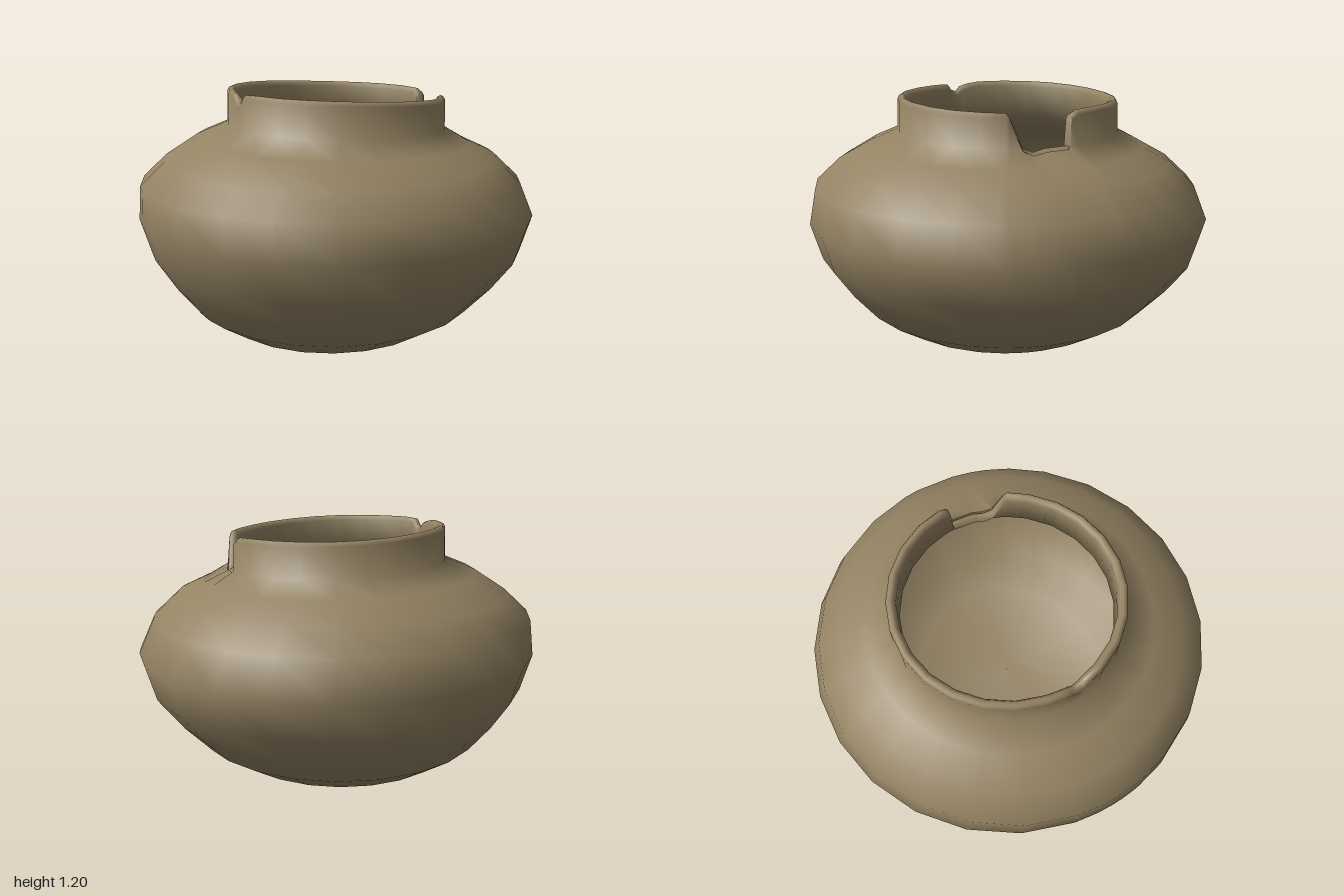
import * as THREE from 'three';
import { toCreasedNormals } from 'three/addons/utils/BufferGeometryUtils.js';

// Wall profile from under the base, up the outside, over the lip and down the inside:
// [radius, height, sideways drift]
const outer = [
  [0.001, 0, 0], [0.3, 0.008, 0], [0.575, 0.03, 1], [0.735, 0.135, 0.7], [0.855, 0.275, 0.3],
  [0.948, 0.41, 0], [1, 0.59, 0], [0.955, 0.755, 1], [0.835, 0.865, 1], [0.69, 0.945, 0.6],
  [0.552, 1.012, 0],
];
// Lip rows are [radius, drop below the rim]
const lip = [[0.548, 0.02], [0.538, 0.004], [0.525, 0], [0.512, 0.006], [0.502, 0.025]];
const inner = [
  [0.505, 0.99, 0], [0.66, 0.905, 0.6], [0.79, 0.825, 1], [0.9, 0.735, 1], [0.945, 0.59, 0],
  [0.895, 0.425, 0], [0.81, 0.305, 0.3], [0.7, 0.18, 0.7], [0.54, 0.08, 1], [0.001, 0.055, 0],
];

// Broken places on the rim: [angle in degrees, rim height]
const largeBreak = [[105, 1.155], [107, 1.13], [113, 1.0], [118, 0.98], [124, 0.995],
  [136, 1.0], [137, 1.14], [141, 1.158]];
const smallChip = [[311, 1.19], [316, 1.178], [319, 1.15], [323, 1.162], [325, 1.19]];

// Ring of columns: even spacing, with the break angles replacing nearby ones
function makeColumns() {
  const tilt = (deg) => {
    const a = THREE.MathUtils.degToRad(deg);
    return 1.178 - 0.018 * Math.sin(a) + 0.011 * Math.cos(a) + 0.003 * Math.sin(3 * a);
  };
  const columns = [...largeBreak, ...smallChip];
  for (let i = 0; i < 24; i++) {
    const deg = i * 15 + 4;
    const taken = [largeBreak, smallChip].some((b) => deg > b[0][0] - 3 && deg < b[b.length - 1][0] + 3);
    if (!taken) columns.push([deg, tilt(deg)]);
  }
  columns.sort((a, b) => a[0] - b[0]);
  columns.push([columns[0][0] + 360, columns[0][1]]);
  return columns;
}

// Lathe the wall, then lean it slightly and cut the rim down column by column
function makeWall() {
  const rows = [
    ...outer.map(([r, y, d]) => ({ r, y, d })),
    ...lip.map(([r, drop]) => ({ r, drop, d: 0 })),
    ...inner.map(([r, y, d]) => ({ r, y, d })),
  ];
  const columns = makeColumns();
  const profile = rows.map((row) => new THREE.Vector2(row.r, row.y ?? 1.18 - row.drop));
  const geometry = new THREE.LatheGeometry(profile, columns.length - 1);
  const position = geometry.attributes.position;
  for (let i = 0; i < position.count; i++) {
    const row = rows[i % rows.length];
    const [deg, rim] = columns[Math.floor(i / rows.length)];
    const a = THREE.MathUtils.degToRad(deg % 360);
    const x = row.r * Math.sin(a) * 0.988 - 0.022 * row.d;
    const z = row.r * Math.cos(a) + 0.025 * row.d;
    let y = row.y;
    if (y === undefined) y = rim - row.drop;
    else if (y > 0.9) y = Math.min(y - 0.025 * x + 0.015 * z, rim - 0.012);
    position.setXYZ(i, x, y, z);
  }
  geometry.deleteAttribute('uv');
  return toCreasedNormals(geometry, 1.25);
}

export function createModel() {
  const clay = new THREE.MeshStandardMaterial({ color: 0x938262 });
  clay.name = 'clay';
  const pot = new THREE.Group();
  pot.name = 'brokenPot';
  const wall = new THREE.Mesh(makeWall(), clay);
  wall.name = 'potWall';
  pot.add(wall);
  return pot;
}
